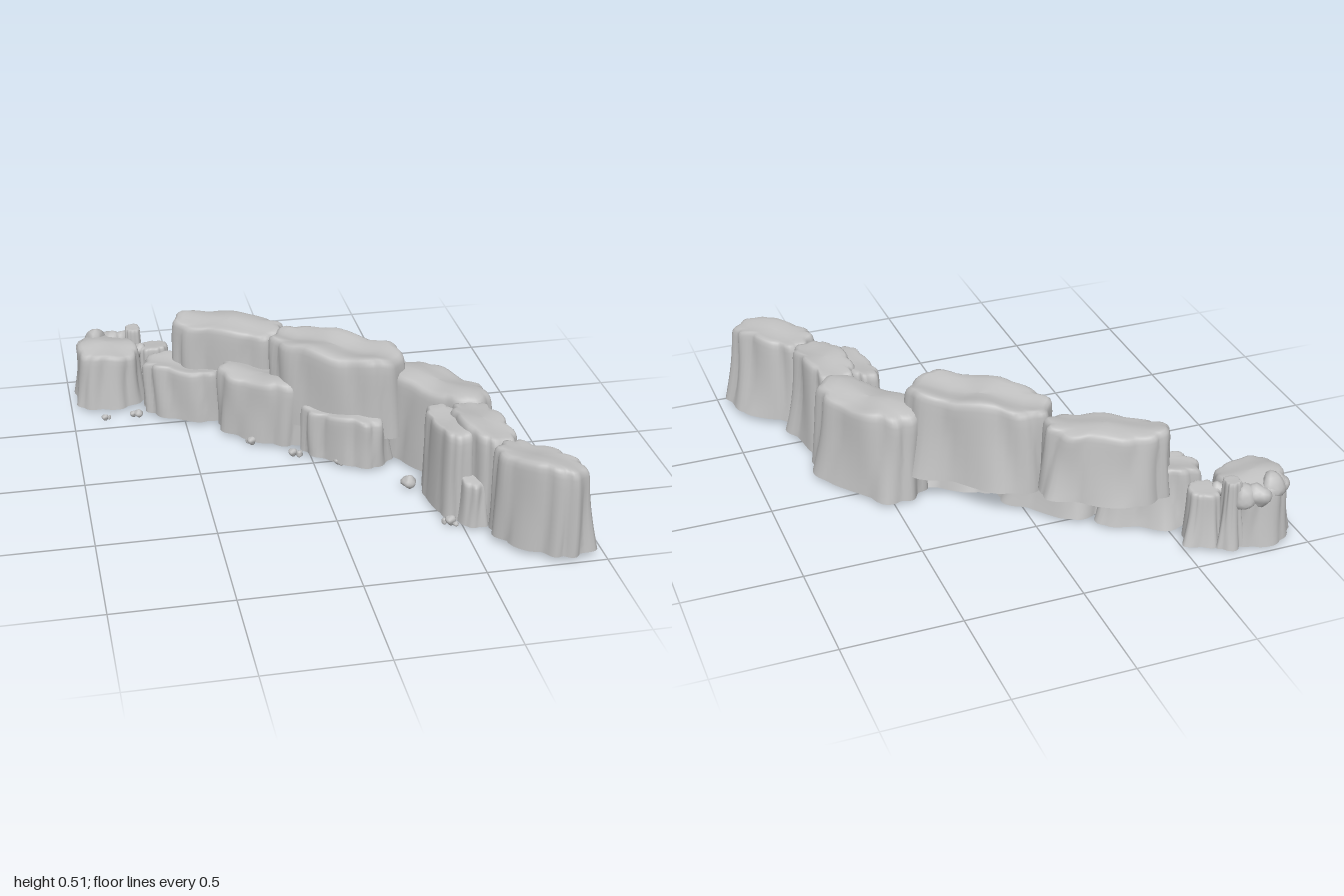
import * as THREE from 'three';
import { mergeVertices } from 'three/addons/utils/BufferGeometryUtils.js';

const SEG = 64;

// Rock column: lumpy superellipse lofted upward, spreading at the back of its foot, open underneath.
function columnGeometry({ at, len, wid, yaw, y0, y1, flare = 0.05, round = 0.1, slope = 0, seed, bump = 0.014 }) {
  const a = THREE.MathUtils.degToRad(yaw), ca = Math.cos(a), sa = Math.sin(a);
  const pos = [], idx = [];
  const small = Math.min(len, wid);
  // rings: [height fraction, inset as share of the outline]
  const rings = [[0, 0], [0.1, 0], [0.22, 0], [0.36, 0], [0.5, 0], [0.65, 0], [0.8, 0], [0.9, 0.01],
    [0.95, 0.03], [0.985, 0.08], [1, 0.17], [1, 0.36], [1, 0.6], [1, 0.82], [1, 1]];
  const power = (c) => Math.sign(c) * Math.pow(Math.abs(c), 0.75);
  for (const [t, inset] of rings) {
    for (let i = 0; i < SEG; i++) {
      const th = (i / SEG) * Math.PI * 2, c = Math.cos(th), s = Math.sin(th);
      // vertical scallops that drift a little with height
      const drift = 0.5 * Math.sin(t * 2.6 + seed);
      const lump = bump * (Math.abs(Math.sin(th * 5 + seed * 1.7 + drift)) * 1.2 - 0.85
        + 0.5 * Math.sin(th * 3 + seed * 2.3 - drift) + 0.2 * Math.sin(th * 9 + seed + t * 3));
      // the foot spreads at the back, most of all at its near corner
      const corner = Math.pow(Math.max(0, Math.cos(th - 0.6)), 4);
      const back = flare * (round + (1 - round) * (0.85 * Math.max(0, s) + 0.4 * corner));
      const gully = 1 + 0.25 * Math.sin(th * 6 + seed * 3.1);
      const foot = back * Math.pow(1 - t, 1.8) * gully;
      const k = 1 - inset;
      const u = (len * power(c) + (lump + foot) * c) * k;
      const v = (wid * power(s) + (lump + foot) * s) * k;
      const wave = small * 0.07 * (Math.sin(u * 21 + seed * 2) + Math.sin(v * 27 + seed) - 1);
      const top = y1 + wave - slope * (u / len);
      const x = at[0] + u * ca + v * sa, z = at[1] + u * sa - v * ca;
      pos.push(x, y0 + (top - y0) * t, z);
    }
  }
  for (let j = 0; j < rings.length - 1; j++) {
    for (let i = 0; i < SEG; i++) {
      const n = (i + 1) % SEG;
      const p = j * SEG + i, q = j * SEG + n, r = q + SEG, w = p + SEG;
      idx.push(p, q, r);
      if (j < rings.length - 2) idx.push(p, r, w);
    }
  }
  const g = new THREE.BufferGeometry();
  g.setAttribute('position', new THREE.Float32BufferAttribute(pos, 3));
  g.setIndex(idx);
  g.computeVertexNormals();
  return g;
}

// Loose stone: a lumpy ball
function stoneGeometry(rx, ry, rz, seed) {
  let g = new THREE.IcosahedronGeometry(1, 2);
  g.deleteAttribute('normal');
  g.deleteAttribute('uv');
  g = mergeVertices(g, 1e-4);
  const p = g.attributes.position;
  for (let i = 0; i < p.count; i++) {
    const x = p.getX(i), y = p.getY(i), z = p.getZ(i);
    const k = 0.92 + 0.16 * Math.sin(x * 3 + seed) * Math.cos(z * 3 - seed) + 0.1 * Math.sin(y * 4 + seed * 2);
    p.setXYZ(i, x * k * rx, y * k * ry, z * k * rz);
  }
  g.computeVertexNormals();
  return g;
}

export function createModel() {
  const model = new THREE.Group();
  model.name = 'cliffWall';
  const rock = new THREE.MeshStandardMaterial({ color: 0xc0c0c0, side: THREE.DoubleSide });
  rock.name = 'greyRock';

  const add = (name, geometry, parent = model) => {
    const mesh = new THREE.Mesh(geometry, rock);
    mesh.name = name;
    parent.add(mesh);
    return mesh;
  };

  // Cliff blocks along the arc, from the far end to the near end
  const columns = [
    { name: 'endTower', at: [-0.815, -0.815], len: 0.137, wid: 0.137, yaw: 0, y0: 0.015, y1: 0.285, flare: 0.024, round: 1, bump: 0.01 },
    { name: 'towerButtress', at: [-0.6, -0.82], len: 0.065, wid: 0.06, yaw: 10, y0: 0.02, y1: 0.255, flare: 0.04, bump: 0.006 },
    { name: 'lowerBlockFar', at: [-0.475, -0.58], len: 0.2, wid: 0.1, yaw: 25, y0: 0.02, y1: 0.27 },
    { name: 'upperBlockFar', at: [-0.28, -0.55], len: 0.258, wid: 0.108, yaw: 28, y0: 0.17, y1: 0.475 },
    { name: 'lowerBlockMiddle', at: [-0.16, -0.325], len: 0.22, wid: 0.12, yaw: 42, y0: 0.02, y1: 0.315 },
    { name: 'upperBlockMiddle', at: [0.13, -0.163], len: 0.315, wid: 0.137, yaw: 40, y0: 0.13, y1: 0.505 },
    { name: 'lowerBlockNear', at: [0.15, -0.035], len: 0.19, wid: 0.1, yaw: 37, y0: 0.02, y1: 0.25 },
    { name: 'tallBlockNear', at: [0.525, 0.1], len: 0.265, wid: 0.118, yaw: 56, y0: 0.02, y1: 0.42 },
    { name: 'sideBlock', at: [0.61, 0.49], len: 0.2, wid: 0.095, yaw: 79, y0: 0.015, y1: 0.425 },
    { name: 'sideSlab', at: [0.485, 0.445], len: 0.165, wid: 0.068, yaw: 79, y0: 0.015, y1: 0.405, flare: 0.02, round: 0.5, bump: 0.008 },
    { name: 'sideFoot', at: [0.525, 0.535], len: 0.14, wid: 0.06, yaw: 74, y0: 0.015, y1: 0.23, slope: 0.02, flare: 0.02, round: 0.6, bump: 0.008 },
    { name: 'nearEndBlock', at: [0.75, 0.825], len: 0.198, wid: 0.095, yaw: 48, y0: 0.03, y1: 0.42, flare: 0.06 },
    { name: 'towerPinnacle', at: [-0.685, -0.895], len: 0.035, wid: 0.04, yaw: 0, y0: 0.02, y1: 0.32, flare: 0.035, round: 0.4, bump: 0.004 },
  ];
  columns.forEach((c, i) => add(c.name, columnGeometry({ ...c, seed: 1.3 + i * 1.9 })));

  // Boulders on the back rim of the tower: x, y, z, radius
  const rim = new THREE.Group();
  rim.name = 'rimBoulders';
  model.add(rim);
  [[-0.91, 0.23, -0.87, 0.05], [-0.86, 0.255, -0.91, 0.055], [-0.79, 0.235, -0.925, 0.055],
    [-0.735, 0.235, -0.92, 0.05], [-0.665, 0.23, -0.82, 0.035]
  ].forEach(([x, y, z, r], i) => {
    add('rimBoulder', stoneGeometry(r, r * 1.1, r, i * 1.7), rim).position.set(x, y, z);
  });

  // Rubble scattered along the front foot: x, z, radius
  const rubble = new THREE.Group();
  rubble.name = 'rubble';
  model.add(rubble);
  [[-0.86, -0.575, 0.016], [-0.84, -0.585, 0.01], [-0.705, -0.575, 0.022], [-0.73, -0.585, 0.016],
    [-0.31, -0.35, 0.02], [-0.3, -0.335, 0.013], [-0.24, -0.215, 0.021], [-0.25, -0.235, 0.014],
    [-0.24, -0.3, 0.011], [-0.08, -0.075, 0.02], [-0.05, -0.065, 0.016], [-0.06, -0.09, 0.012],
    [0.1, 0.035, 0.02], [0.115, 0.045, 0.013], [0.355, 0.3, 0.034], [0.45, 0.625, 0.024],
    [0.43, 0.61, 0.015], [0.47, 0.64, 0.013]
  ].forEach(([x, z, r], i) => {
    add('rubbleStone', stoneGeometry(r, r, r * 0.9, i * 2.1), rubble).position.set(x, 0.004 + r, z);
  });

  return model;
}
